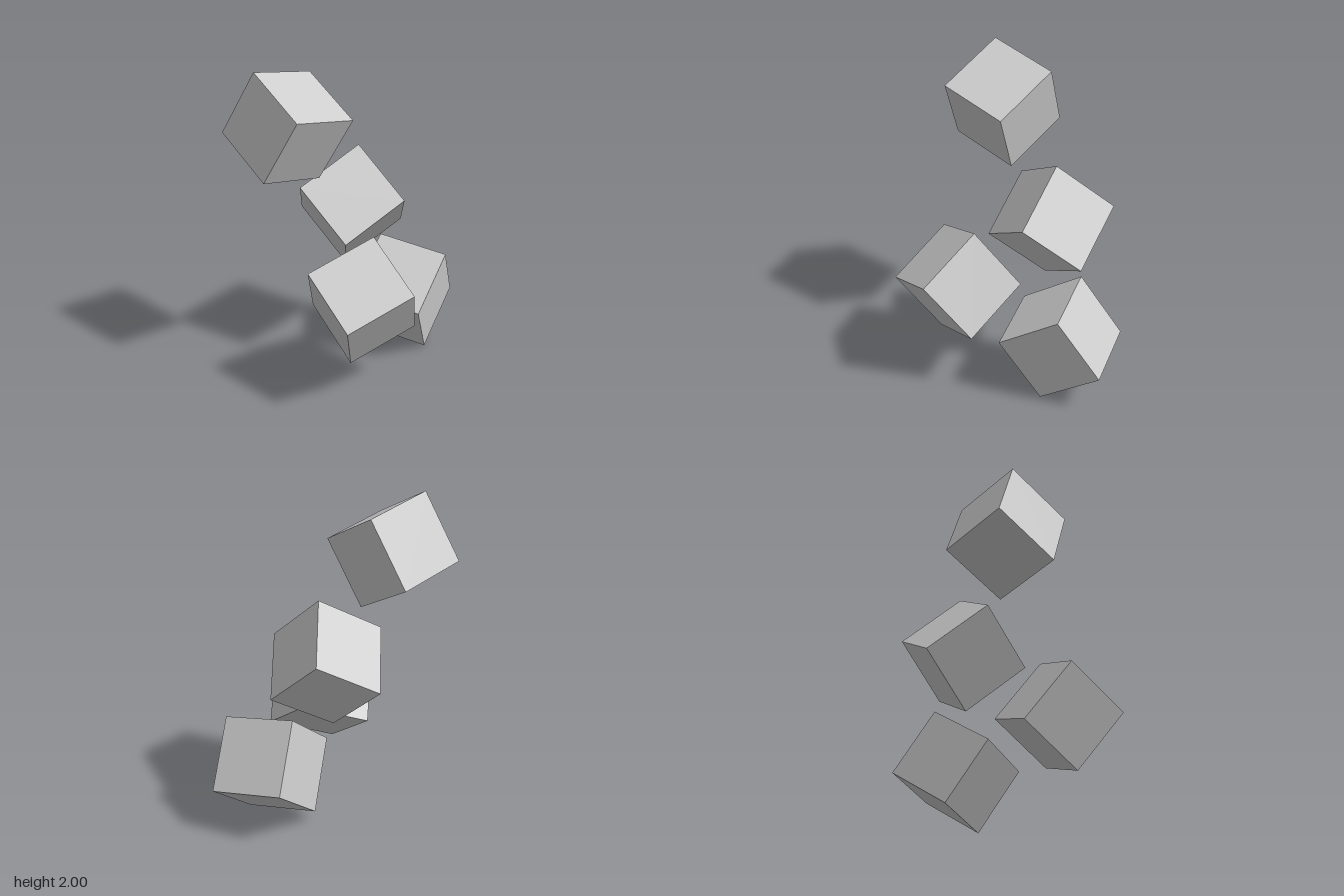
import * as THREE from 'three';

const SIZE = 0.467;

export function createModel() {
  const group = new THREE.Group();
  group.name = 'tumblingCubes';
  const grey = new THREE.MeshStandardMaterial({ color: 0xcccccc });
  grey.name = 'light grey';
  const geometry = new THREE.BoxGeometry(SIZE, SIZE, SIZE);

  // Each cube: name, centre, and the directions of two of its edges
  const cubes = [
    ['topCube', [-0.385, 1.645, -0.1], [0.375, -0.1, -0.255], [0.2, -0.2, 0.37]],
    ['upperMiddleCube', [0.05, 1.008, -0.293], [0.239, -0.29, 0.28], [0.064, -0.294, -0.355]],
    ['frontCube', [0, 0.622, 0.3], [0.174, -0.237, 0.36], [0.072, -0.365, -0.275]],
    ['bottomCube', [0.392, 0.353, -0.27], [0.108, -0.385, -0.24], [-0.25, -0.258, 0.298]],
  ];

  for (const [name, centre, edgeA, edgeB] of cubes) {
    // Right-handed, exactly perpendicular axes from the two edges
    const x = new THREE.Vector3(...edgeA).normalize();
    const z = new THREE.Vector3().crossVectors(x, new THREE.Vector3(...edgeB)).normalize();
    const y = new THREE.Vector3().crossVectors(z, x);
    const cube = new THREE.Mesh(geometry, grey);
    cube.name = name;
    cube.position.set(...centre);
    cube.quaternion.setFromRotationMatrix(new THREE.Matrix4().makeBasis(x, y, z));
    group.add(cube);
  }
  return group;
}
